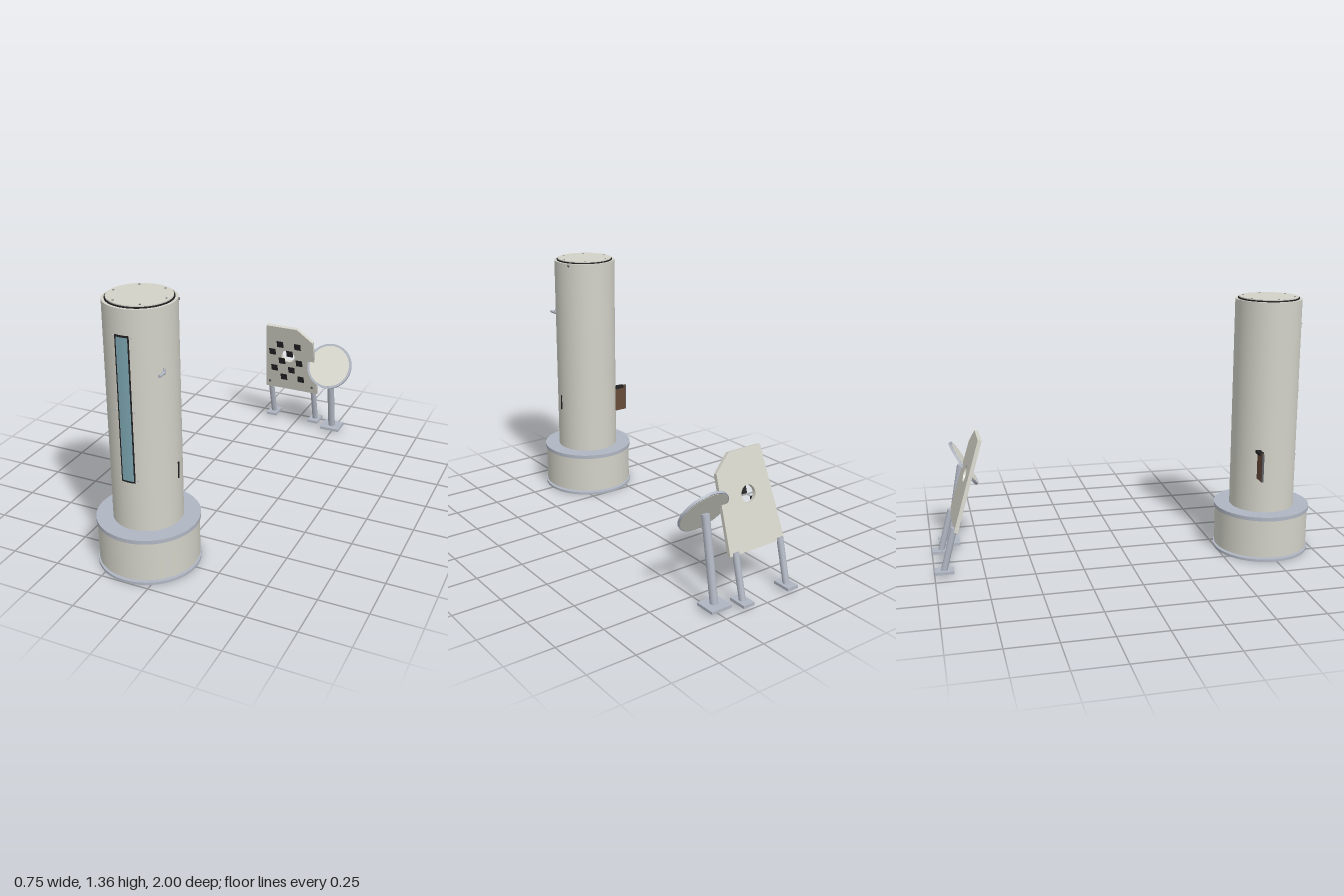
import * as THREE from 'three';

const mat = (name, color) => Object.assign(new THREE.MeshStandardMaterial({ color }), { name });

export function createModel() {
  const M = {
    shell: mat('warm grey paint', 0xd2d2c8),
    steel: mat('blue grey steel', 0xb0b6c2),
    glass: mat('teal glass', 0x7ba4af),
    black: mat('black', 0x222224),
    brown: mat('brown panel', 0x684b3a),
    bolt: mat('dark metal', 0x5c5f64),
    face: mat('pale sign face', 0xdddcd2),
  };
  const root = new THREE.Group();
  root.name = 'installation';

  const add = (parent, name, geo, m, x = 0, y = 0, z = 0) => {
    const mesh = new THREE.Mesh(geo, m);
    mesh.name = name;
    mesh.position.set(x, y, z);
    parent.add(mesh);
    return mesh;
  };
  const group = (name, x, y, z, parent = root) => {
    const g = new THREE.Group();
    g.name = name;
    g.position.set(x, y, z);
    parent.add(g);
    return g;
  };
  const box = (w, h, d) => new THREE.BoxGeometry(w, h, d);
  const disc = (r, y0, y1, seg = 64) =>
    new THREE.CylinderGeometry(r, r, y1 - y0, seg).translate(0, (y0 + y1) / 2, 0);
  // straight round bar between two points
  const bar = (parent, name, a, b, r, m) => {
    const A = new THREE.Vector3(...a), B = new THREE.Vector3(...b);
    const mesh = add(parent, name, new THREE.CylinderGeometry(r, r, A.distanceTo(B), 20), m);
    mesh.position.copy(A).add(B).multiplyScalar(0.5);
    mesh.quaternion.setFromUnitVectors(new THREE.Vector3(0, 1, 0), B.sub(A).normalize());
  };

  // ---- Tower ----
  const tower = group('tower', -0.124, 0, 0.747);
  // steel edge and top, painted underside
  add(tower, 'floorPlate', disc(0.252, 0, 0.013), [M.steel, M.steel, M.shell]);
  add(tower, 'baseDrum', disc(0.246, 0.023, 0.225), M.shell);
  add(tower, 'baseRim', disc(0.252, 0.225, 0.245), M.steel);
  add(tower, 'column', disc(0.17, 0.245, 1.344), M.shell);
  add(tower, 'capSeam', disc(0.156, 1.34, 1.35), M.black);
  add(tower, 'cap', disc(0.151, 1.34, 1.355), M.shell);
  for (let i = 0; i < 6; i++) {
    const a = i * Math.PI / 3 + Math.PI / 6;
    add(tower, 'capBolt', disc(0.005, 1.35, 1.3565, 10), M.bolt, 0.133 * Math.sin(a), 0, 0.133 * Math.cos(a));
  }

  // curved window layers wrapped on the front of the column
  const arc = (r, halfWidth, y0, y1) => {
    const t = Math.asin(halfWidth / r);
    return new THREE.CylinderGeometry(r, r, y1 - y0, 16, 1, true, -t, 2 * t).translate(0, (y0 + y1) / 2, 0);
  };
  add(tower, 'windowFrame', arc(0.1712, 0.054, 0.48, 1.243), M.shell);
  add(tower, 'windowSeal', arc(0.1724, 0.036, 0.499, 1.224), M.black);
  add(tower, 'windowGlass', arc(0.1734, 0.029, 0.508, 1.214), M.glass);
  for (const s of [-1, 1])
    for (const y of [0.515, 0.862, 1.216])
      add(tower, 'frameBolt', new THREE.SphereGeometry(0.004, 10, 8), M.steel, s * 0.047, y, 0.165);

  // side lever, grip and small screw
  bar(tower, 'leverArm', [0.154, 1.04, 0.125], [0.154, 1.04, 0.078], 0.007, M.steel);
  bar(tower, 'leverStem', [0.154, 1.04, 0.08], [0.152, 1.062, 0.076], 0.005, M.steel);
  bar(tower, 'leverPivot', [0.135, 1.04, 0.08], [0.158, 1.04, 0.08], 0.009, M.steel);
  add(tower, 'sideGrip', box(0.006, 0.085, 0.005), M.black, 0.172, 0.52, 0.005);
  for (const y of [0.482, 0.558])
    add(tower, 'gripMount', box(0.008, 0.007, 0.009), M.black, 0.17, y, 0.005);
  add(tower, 'sideScrew', new THREE.SphereGeometry(0.007, 10, 8), M.bolt, 0.152, 1.332, -0.075);

  // control panel on the right side of the column
  const panel = group('controlPanel', -0.18, 0.505, -0.082, tower);
  add(panel, 'panelBoard', box(0.08, 0.15, 0.008), M.brown);
  add(panel, 'panelTop', box(0.054, 0.016, 0.024), M.black, 0.008, 0.07, -0.002);
  add(panel, 'panelEdge', box(0.004, 0.15, 0.01), M.bolt, -0.039, 0, 0);
  for (const y of [-0.045, 0.03]) {
    add(panel, 'panelModule', box(0.026, 0.05, 0.008), M.steel, 0.003, y, 0.008);
    add(panel, 'panelSocket', box(0.012, 0.014, 0.004), M.black, 0.003, y, 0.013);
  }

  // ---- Tilted board with a round opening ----
  const board = group('board', 0, 0.229, -0.877);
  board.rotation.x = 0.298;
  const shape = new THREE.Shape([[-0.19, 0], [0.146, 0], [0.146, 0.392], [0.055, 0.476], [-0.137, 0.476]]
    .map(p => new THREE.Vector2(...p)));
  shape.holes.push(new THREE.Path().absarc(-0.02, 0.262, 0.042, 0, Math.PI * 2, true));
  add(board, 'boardPanel', new THREE.ExtrudeGeometry(shape, { depth: 0.02, bevelEnabled: false, curveSegments: 24 })
    .translate(0, 0, -0.02), M.shell);
  // checkered tiles
  for (let c = 0; c < 4; c++)
    for (let r = 0; r < 5; r++)
      if ((3 - c + r) % 2 === 0)
        add(board, 'tile', box(0.04, 0.043, 0.003), M.black, -0.118 + c * 0.055, 0.346 - r * 0.0628, 0.0012);
  for (const x of [-0.16, 0.115])
    add(board, 'boardBolt', new THREE.CylinderGeometry(0.008, 0.008, 0.006, 14).rotateX(Math.PI / 2), M.bolt, x, 0.045, 0.001);

  // board legs and feet
  for (const x of [-0.163, 0.113]) {
    bar(root, 'boardLeg', [x, 0.025, -0.952], [x, 0.25, -0.893], 0.0165, M.steel);
    add(root, 'boardFoot', box(0.064, 0.015, 0.098), M.steel, x, 0.0225, -0.951);
  }

  // ---- Round sign on a leaning post ----
  bar(root, 'signPost', [0.24, 0.025, -0.9], [0.24, 0.452, -0.823], 0.02, M.steel);
  add(root, 'signFoot', box(0.116, 0.015, 0.11), M.steel, 0.24, 0.0225, -0.902);
  const sign = group('sign', 0.24, 0.46, -0.807);
  sign.rotation.x = Math.PI / 2 - 0.54;
  add(sign, 'signRim', disc(0.134, -0.007, 0.006), M.steel);
  add(sign, 'signFace', disc(0.121, 0.005, 0.007), M.face);
  add(sign, 'signBack', disc(0.128, -0.0085, -0.006), M.shell);

  return root;
}
